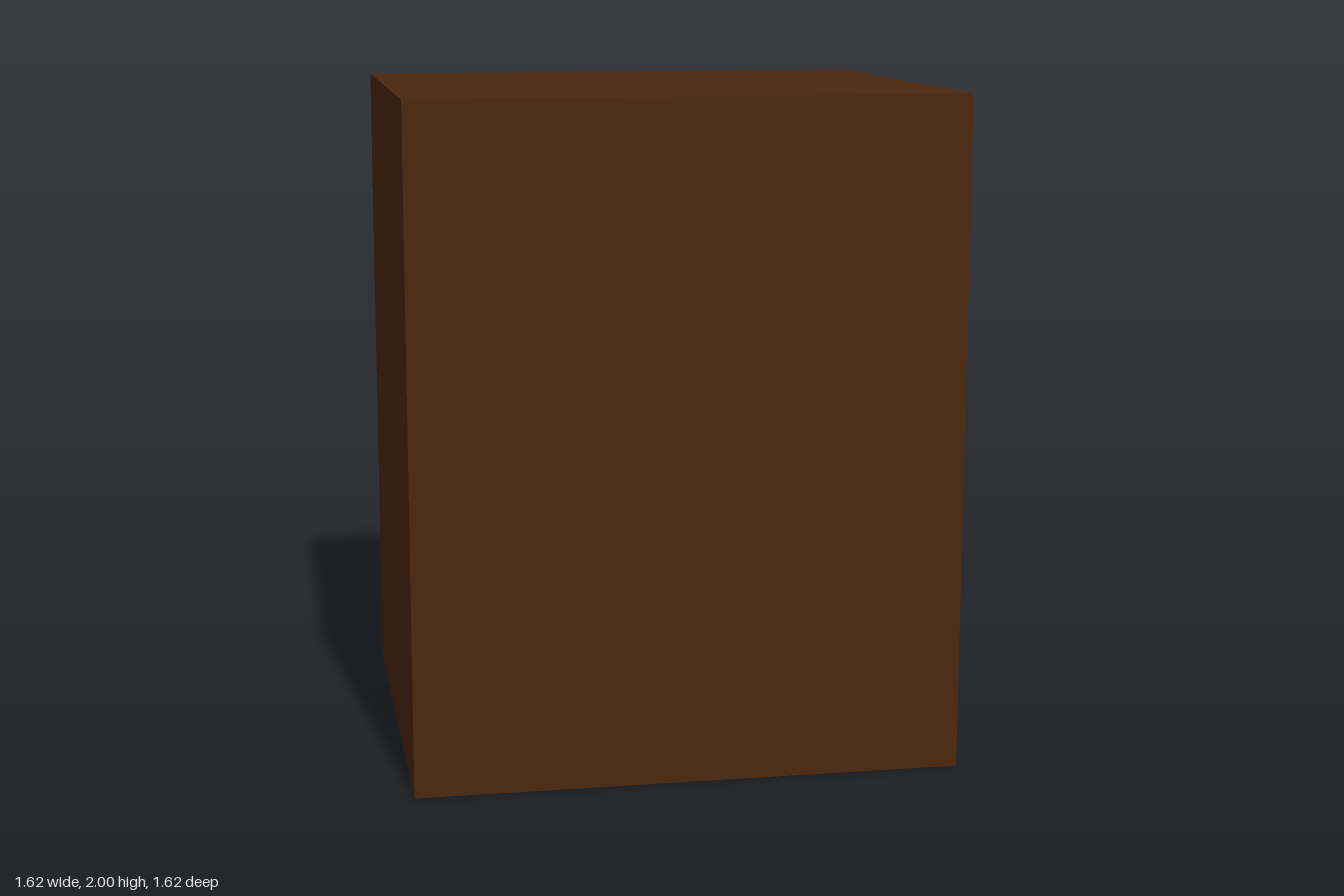
import * as THREE from 'three';

const wood = new THREE.MeshStandardMaterial({ color: 0x4a270e, flatShading: true });
const smoothWood = new THREE.MeshStandardMaterial({ color: 0x4a270e });

function add(parent, name, geometry, material, x = 0, y = 0, z = 0) {
  const mesh = new THREE.Mesh(geometry, material);
  mesh.name = name;
  mesh.position.set(x, y, z);
  parent.add(mesh);
  return mesh;
}

// Door slab: sides flare slightly, then chamfer in to the outer face
function doorGeometry() {
  const rings = [
    { z: -0.71, inset: 0.03 },
    { z: -0.682, inset: 0 },
    { z: -0.635, inset: 0.01 },
  ];
  const geometry = new THREE.BoxGeometry(2, 2, 2, 1, 1, 2);
  const p = geometry.attributes.position;
  for (let i = 0; i < p.count; i++) {
    const { z, inset } = rings[Math.round(p.getZ(i)) + 1];
    p.setXYZ(i, p.getX(i) * (0.787 - inset), p.getY(i) * (0.98 - inset), z);
  }
  geometry.computeVertexNormals();
  return geometry;
}

export function createModel() {
  const model = new THREE.Group();
  model.name = 'cabinet';

  // Carcass: five panels, open behind the door
  const carcass = new THREE.Group();
  carcass.name = 'carcass';
  model.add(carcass);
  const w = 1.62, h = 2, d = 1.435, t = 0.05, zMid = 0.0925;
  add(carcass, 'topPanel', new THREE.BoxGeometry(w, t, d), wood, 0, h - t / 2, zMid);
  add(carcass, 'bottomPanel', new THREE.BoxGeometry(w, t, d), wood, 0, t / 2, zMid);
  for (const [name, side] of [['leftPanel', 1], ['rightPanel', -1]]) {
    add(carcass, name, new THREE.BoxGeometry(t, h - 2 * t, d), wood, side * (w - t) / 2, h / 2, zMid);
  }
  add(carcass, 'frontPanel', new THREE.BoxGeometry(w - 2 * t, h - 2 * t, t), wood, 0, h / 2, 0.81 - t / 2);

  add(model, 'door', doorGeometry(), wood, 0.003, 1.005, 0);

  // Handle: bent rod, flared feet and a thicker grip
  const handle = new THREE.Group();
  handle.name = 'handle';
  handle.position.set(0.544, 1.525, 0);
  model.add(handle);

  const half = [[0.128, -0.705], [0.12, -0.74], [0.1, -0.775], [0.065, -0.789]];
  const path = [...half, ...half.slice().reverse().map(([y, z]) => [-y, z])]
    .map(([y, z]) => new THREE.Vector3(0, y, z));
  add(handle, 'rod', new THREE.TubeGeometry(new THREE.CatmullRomCurve3(path), 40, 0.012, 12), smoothWood);

  for (const [name, side] of [['upperFoot', 1], ['lowerFoot', -1]]) {
    const foot = add(handle, name, new THREE.CylinderGeometry(0.011, 0.025, 0.025, 12), smoothWood, 0, side * 0.128, -0.72);
    foot.rotation.x = -Math.PI / 2;
  }

  const grip = [[0, -0.083], [0.013, -0.083], [0.017, -0.068], [0.021, -0.04],
    [0.022, 0], [0.021, 0.04], [0.017, 0.068], [0.013, 0.083], [0, 0.083]]
    .map(([r, y]) => new THREE.Vector2(r, y));
  add(handle, 'grip', new THREE.LatheGeometry(grip, 16), smoothWood, 0, 0, -0.788);

  return model;
}
